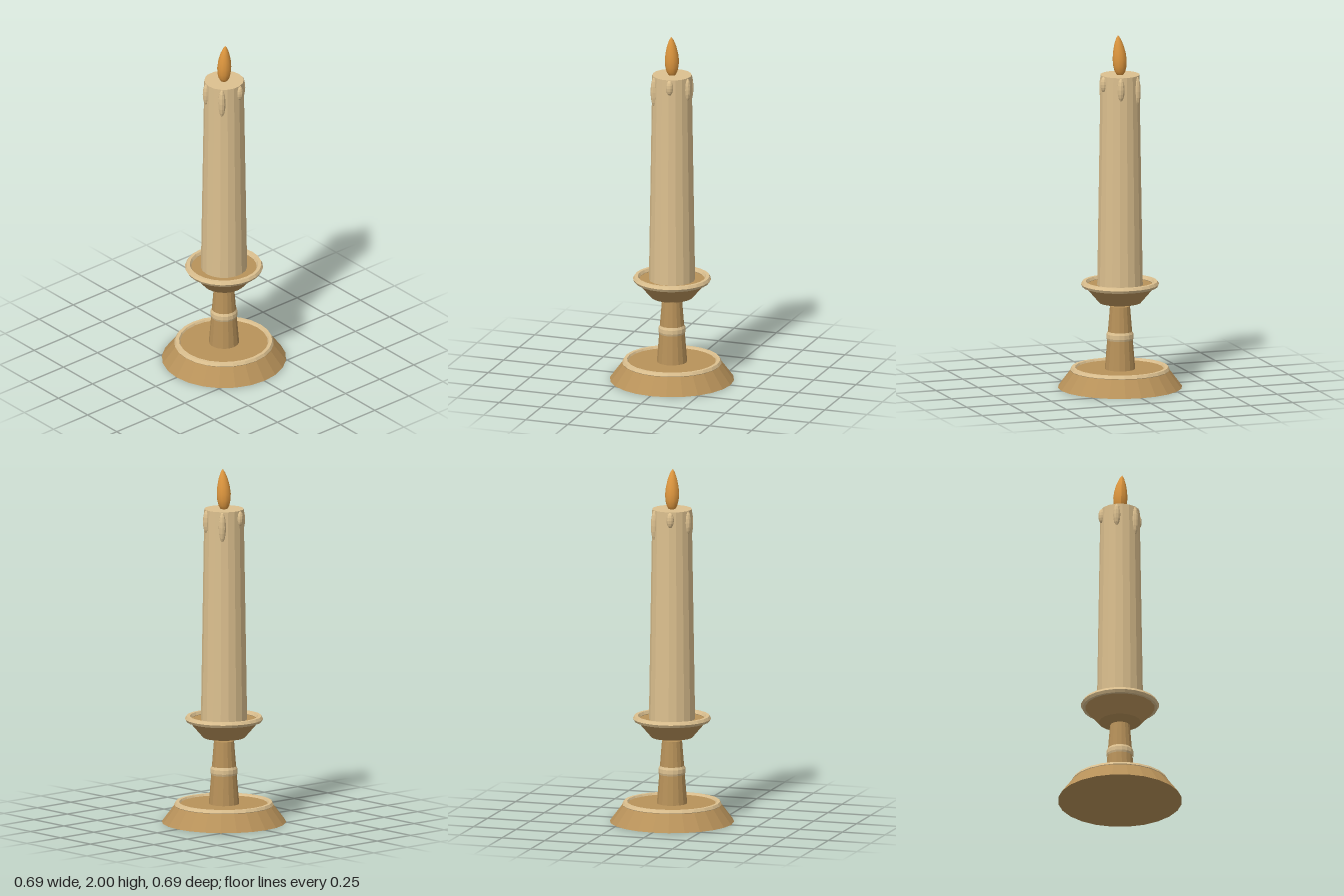
import * as THREE from 'three';

export function createModel() {
  const group = new THREE.Group();
  const material = (name, color, flatShading = true) => {
    const m = new THREE.MeshStandardMaterial({ color, flatShading });
    m.name = name;
    return m;
  };
  const brass = material('brass', 0xb8925a);
  const wax = material('wax', 0xdcc08f);
  const flameOrange = material('flame orange', 0xe0983f, false);

  const add = (name, geometry, mat, y = 0) => {
    const mesh = new THREE.Mesh(geometry, mat);
    mesh.name = name;
    mesh.position.y = y;
    group.add(mesh);
    return mesh;
  };
  // Tapered cylinder given by its bottom and top heights
  const taper = (name, rBottom, rTop, y0, y1, sides, mat) =>
    add(name, new THREE.CylinderGeometry(rTop, rBottom, y1 - y0, sides), mat, (y0 + y1) / 2);
  // Horizontal rim with a six-sided section
  const rim = (name, radius, y) =>
    add(name, new THREE.TorusGeometry(radius, 0.018, 6, 24).rotateX(-Math.PI / 2), wax, y);

  // Holder
  taper('base', 0.347, 0.27, 0, 0.103, 24, brass);
  rim('baseRim', 0.26, 0.098);
  taper('stem', 0.085, 0.056, 0.1, 0.46, 16, brass);
  const bandProfile = [[0.073, 0.268], [0.0765, 0.28], [0.0755, 0.302], [0.069, 0.316]];
  add('stemBand', new THREE.LatheGeometry(bandProfile.map(p => new THREE.Vector2(...p)), 16), wax);
  taper('dish', 0.117, 0.205, 0.48, 0.582, 20, brass);
  rim('dishRim', 0.2, 0.585);

  // Candle
  taper('candle', 0.129, 0.11, 0.575, 1.775, 18, wax);

  // Wax drips around the top, in three repeating lengths
  const halfLengths = [0.086, 0.066, 0.044];
  for (let i = 0; i < 6; i++) {
    const angle = 0.82 + i * Math.PI / 3;
    const half = halfLengths[i % 3];
    const drip = add('drip', new THREE.SphereGeometry(1, 10, 8), wax, 1.774 - half);
    drip.scale.set(0.021, half, 0.021);
    drip.position.x = Math.cos(angle) * 0.107;
    drip.position.z = Math.sin(angle) * 0.107;
  }

  // Flame, its tip leaning slightly to one side
  const profile = [[0, 1.765], [0.018, 1.772], [0.031, 1.795], [0.038, 1.825], [0.04, 1.86],
    [0.036, 1.9], [0.026, 1.945], [0.013, 1.98], [0, 2]].map(p => new THREE.Vector2(...p));
  const flame = new THREE.LatheGeometry(profile, 12);
  const pos = flame.attributes.position;
  for (let i = 0; i < pos.count; i++) {
    const t = (pos.getY(i) - 1.765) / 0.235;
    pos.setX(i, pos.getX(i) + 0.012 * t * t);
  }
  flame.computeVertexNormals();
  add('flame', flame, flameOrange);

  return group;
}
